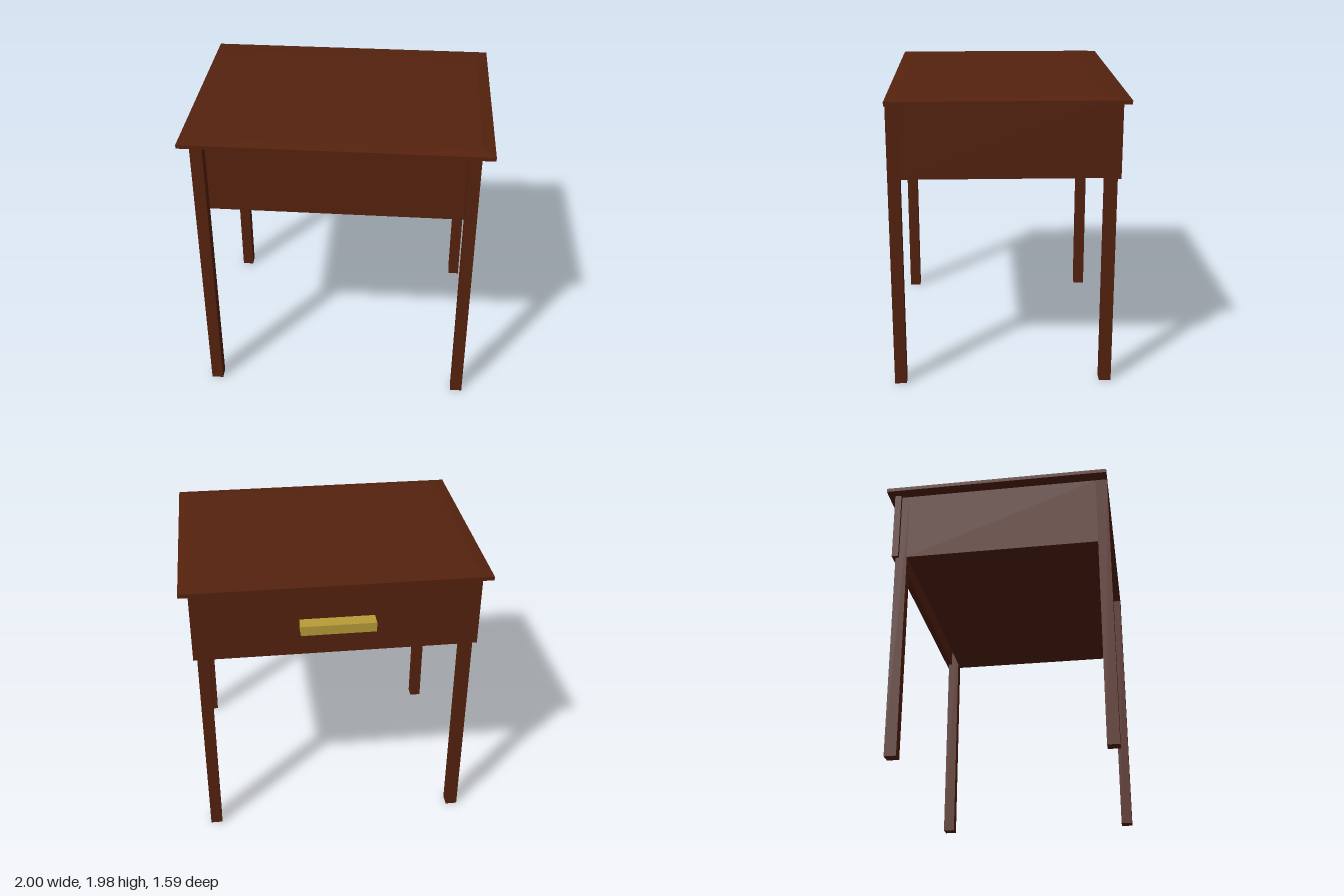
import * as THREE from 'three';

export function createModel() {
  const wood = new THREE.MeshStandardMaterial({ color: 0x55220e });
  wood.name = 'dark wood';
  const brass = new THREE.MeshStandardMaterial({ color: 0xb99c38 });
  brass.name = 'brass';
  const table = new THREE.Group();
  table.name = 'sideTable';

  // Box given by its lowest and highest corners
  function box(name, material, [x0, y0, z0], [x1, y1, z1]) {
    const geometry = new THREE.BoxGeometry(x1 - x0, y1 - y0, z1 - z0);
    const mesh = new THREE.Mesh(geometry, material);
    mesh.position.set((x0 + x1) / 2, (y0 + y1) / 2, (z0 + z1) / 2);
    mesh.name = name;
    table.add(mesh);
    return mesh;
  }

  // Square legs, standing proud of the case at both ends
  for (const [side, x] of [['left', 0.835], ['right', -0.915]]) {
    box(side + 'FrontLeg', wood, [x, 0, 0.715], [x + 0.08, 1.94, 0.795]);
    box(side + 'BackLeg', wood, [x, 0, -0.68], [x + 0.08, 1.94, -0.6]);
  }

  // Case between the legs, flush with their outer sides
  box('case', wood, [-0.915, 1.445, -0.6], [0.915, 1.94, 0.715]);

  // Drawer panel, slightly wider than the case, with its bar handle
  box('drawerFront', wood, [-0.94, 1.445, -0.7], [0.94, 1.94, -0.655]);
  box('handle', brass, [-0.245, 1.643, -0.795], [0.245, 1.709, -0.7]);

  // Top slab
  box('topSlab', wood, [-1, 1.94, -0.745], [1, 1.966, 0.795]);

  // Shallow sloped cap: the upper corners of a box are drawn inwards
  const cap = box('topBevel', wood, [-1, 1.966, -0.745], [1, 1.98, 0.795]);
  const p = cap.geometry.attributes.position;
  for (let i = 0; i < p.count; i++) {
    if (p.getY(i) < 0) continue;
    p.setX(i, Math.sign(p.getX(i)) * 0.92);
    p.setZ(i, (p.getZ(i) > 0 ? 0.715 : -0.6) - cap.position.z);
  }
  cap.geometry.computeVertexNormals();

  return table;
}
